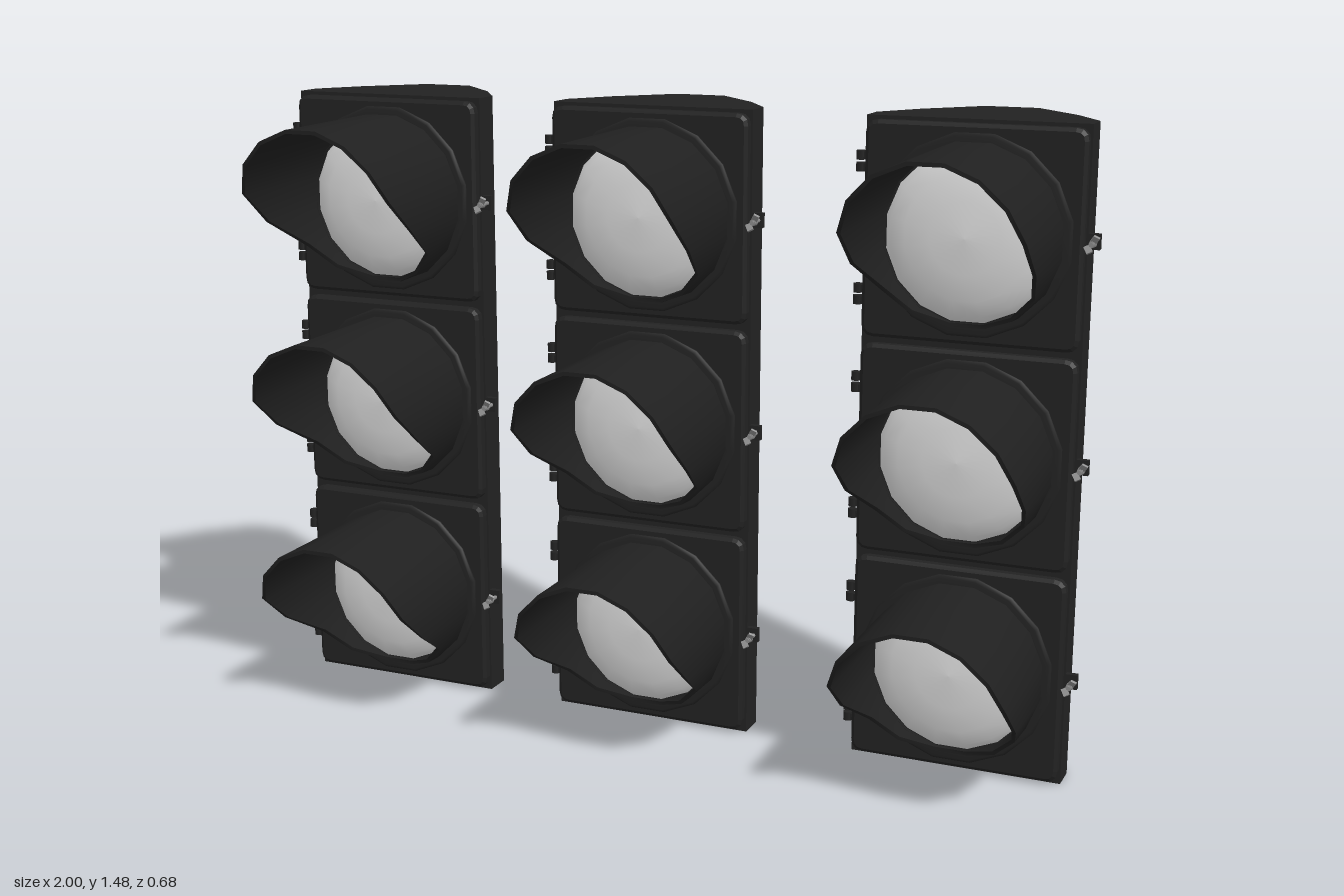
import * as THREE from 'three';
import { mergeGeometries } from 'three/addons/utils/BufferGeometryUtils.js';

const SIDES = 16;
const PITCH = 0.494; // height of one lamp section

function material(name, color, side = THREE.FrontSide) {
  const m = new THREE.MeshStandardMaterial({ color, side });
  m.name = name;
  return m;
}

// Housing: tapered plan extruded upwards
function housingGeometry() {
  const half = [[0.247, 0.047], [0.247, 0.113], [0.177, 0.218], [0.061, 0.34]];
  const mirrored = half.map(([x, y]) => [-x, y]).reverse();
  const shape = new THREE.Shape([...half, ...mirrored].map(([x, y]) => new THREE.Vector2(x, y)));
  return new THREE.ExtrudeGeometry(shape, { depth: PITCH * 3, bevelEnabled: false }).rotateX(-Math.PI / 2);
}

// Door: rounded plate with a small bevel
function doorGeometry() {
  const w = 0.235, h = 0.231, r = 0.02;
  const s = new THREE.Shape();
  s.moveTo(-w + r, -h);
  s.lineTo(w - r, -h).quadraticCurveTo(w, -h, w, -h + r);
  s.lineTo(w, h - r).quadraticCurveTo(w, h, w - r, h);
  s.lineTo(-w + r, h).quadraticCurveTo(-w, h, -w, h - r);
  s.lineTo(-w, -h + r).quadraticCurveTo(-w, -h, -w + r, -h);
  return new THREE.ExtrudeGeometry(s, {
    depth: 0.018, bevelThickness: 0.006, bevelSize: 0.008, bevelSegments: 1, curveSegments: 3,
  }).translate(0, 0, -0.048);
}

// Turned part whose axis points forward, with a flat side on top
function turned(points) {
  const profile = points.map(([r, z]) => new THREE.Vector2(r, z));
  return new THREE.LatheGeometry(profile, SIDES, Math.PI / SIDES).rotateX(Math.PI / 2);
}

// Closed band of quads between two rings of points
function band(ringA, ringB) {
  const index = [];
  for (let i = 0; i < SIDES; i++) {
    const j = (i + 1) % SIDES;
    index.push(i, j + SIDES, j, i, i + SIDES, j + SIDES);
  }
  const g = new THREE.BufferGeometry();
  g.setAttribute('position', new THREE.Float32BufferAttribute([...ringA, ...ringB].flat(), 3));
  g.setIndex(index);
  g.computeVertexNormals();
  return g;
}

// Visor: thin tube whose front edge is cut back towards the bottom
function visorGeometry() {
  const reach = [0.34, 0.338, 0.325, 0.29, 0.196, 0.075, 0.035, -0.008];
  const ring = (radius, zAt) => Array.from({ length: SIDES }, (_, i) => {
    const a = (i + 0.5) * 2 * Math.PI / SIDES;
    return [radius * Math.sin(a), radius * Math.cos(a), zAt(Math.min(i, SIDES - 1 - i))];
  });
  const front = k => reach[k], back = () => -0.024;
  const outerBack = ring(0.205, back), outerFront = ring(0.202, front);
  const innerFront = ring(0.193, front), innerBack = ring(0.195, back);
  return mergeGeometries([
    band(outerBack, outerFront), band(outerFront, innerFront), band(innerFront, innerBack),
  ]);
}

export function createModel() {
  const black = material('housing black', 0x222222);
  const visorBlack = material('visor black', 0x202020, THREE.DoubleSide);
  const white = material('lens white', 0xdcdcdc);
  const steel = material('fastener steel', 0x8c8c8c);

  const housing = housingGeometry();
  const door = doorGeometry();
  const collar = turned([[0.224, -0.026], [0.224, -0.019], [0.217, -0.014], [0.194, -0.014]]);
  const lens = turned([[0.191, -0.02], [0.175, -0.003], [0.14, 0.012], [0.08, 0.024], [0, 0.029]]);
  const visor = visorGeometry();
  const knuckle = new THREE.CylinderGeometry(0.011, 0.011, 0.02, 8);
  const leaf = new THREE.BoxGeometry(0.024, 0.016, 0.014);
  const lug = new THREE.BoxGeometry(0.03, 0.034, 0.014);
  const bolt = new THREE.CylinderGeometry(0.005, 0.005, 0.055, 8).rotateX(Math.PI / 2);
  const nut = new THREE.CylinderGeometry(0.007, 0.009, 0.014, 8).rotateX(Math.PI / 2);
  const wing = new THREE.BoxGeometry(0.014, 0.018, 0.005);

  const add = (parent, name, geometry, mat, x = 0, y = 0, z = 0) => {
    const mesh = new THREE.Mesh(geometry, mat);
    mesh.name = name;
    mesh.position.set(x, y, z);
    parent.add(mesh);
    return mesh;
  };

  function makeSection() {
    const section = new THREE.Group();
    section.name = 'lampSection';
    add(section, 'door', door, black);
    add(section, 'collar', collar, black);
    add(section, 'lens', lens, white);
    add(section, 'visor', visor, visorBlack);
    // Split hinges on one edge
    for (const y of [-0.147, 0.147]) {
      for (const dy of [-0.013, 0.013]) {
        add(section, 'hingeKnuckle', knuckle, black, -0.256, y + dy, -0.04);
        add(section, 'hingeLeaf', leaf, black, -0.242, y + dy, -0.04);
      }
    }
    // Wing nut latch on the other edge
    add(section, 'latchLug', lug, black, 0.258, 0, -0.054);
    add(section, 'latchBolt', bolt, steel, 0.263, 0, -0.033);
    add(section, 'wingNut', nut, steel, 0.263, 0, -0.016);
    for (const s of [-1, 1]) {
      const w = add(section, 'nutWing', wing, steel, 0.263 + s * 0.007, s * 0.011, -0.01);
      w.rotation.set(s * 0.6, 0, -s * 0.55);
    }
    return section;
  }

  const model = new THREE.Group();
  model.name = 'signalLights';
  for (const x of [-0.733, -0.043, 0.717]) {
    const signal = new THREE.Group();
    signal.name = 'signal';
    signal.position.x = x;
    add(signal, 'housing', housing, black);
    for (let i = 0; i < 3; i++) {
      const section = makeSection();
      section.position.y = PITCH * (i + 0.5);
      signal.add(section);
    }
    model.add(signal);
  }
  return model;
}
